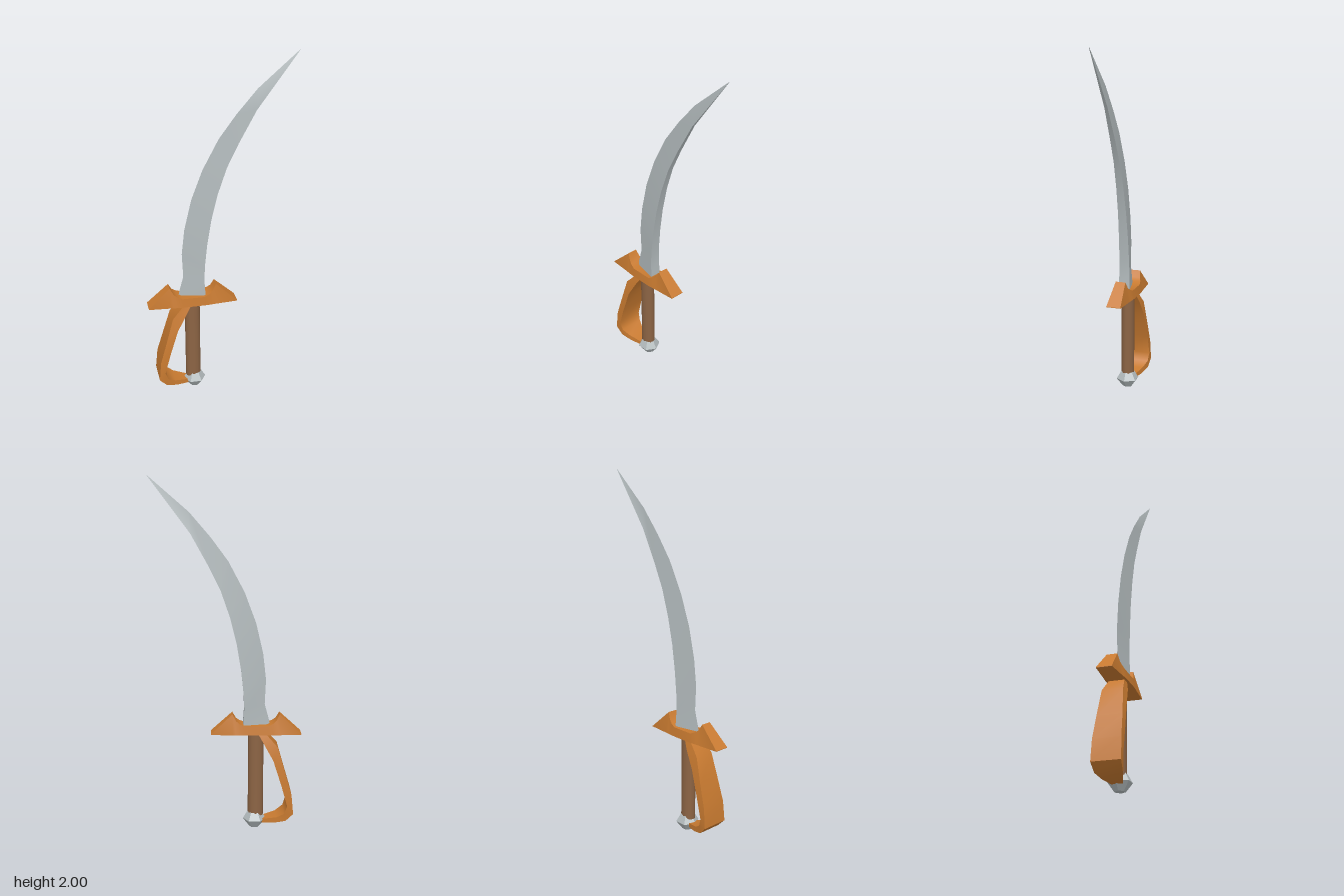
import * as THREE from 'three';
import { toCreasedNormals } from 'three/addons/utils/BufferGeometryUtils.js';

const AXIS = -0.173; // x of the grip's centre line

// Skin over equal-sized cross-sections, each counter-clockwise about the travel direction
function loft(rings, crease) {
  const out = [];
  const tri = (a, b, c) => out.push(...a, ...b, ...c);
  const n = rings[0].length;
  for (let i = 0; i < rings.length - 1; i++) {
    for (let j = 0; j < n; j++) {
      const k = (j + 1) % n;
      const a = rings[i][j], b = rings[i][k], c = rings[i + 1][k], d = rings[i + 1][j];
      tri(a, b, c);
      tri(a, c, d);
    }
  }
  const first = rings[0], last = rings[rings.length - 1];
  for (let j = 1; j < n - 1; j++) {
    tri(first[0], first[j + 1], first[j]);
    tri(last[0], last[j], last[j + 1]);
  }
  const geo = new THREE.BufferGeometry();
  geo.setAttribute('position', new THREE.Float32BufferAttribute(out, 3));
  return toCreasedNormals(geo, crease);
}

export function createModel() {
  const group = new THREE.Group();
  group.name = 'sabre';
  const material = (name, color, flatShading = false) => {
    const m = new THREE.MeshStandardMaterial({ color, flatShading });
    m.name = name;
    return m;
  };
  const steel = material('steel', 0xb2babc);
  const brass = material('brass', 0xc87a30);
  const leather = material('leather', 0x8c6444);
  const add = (name, geo, mat) => {
    const mesh = new THREE.Mesh(geo, mat);
    mesh.name = name;
    group.add(mesh);
    return mesh;
  };

  // Blade: wedge section, sharp on the outer curve with a flat spine on the inner one
  // edge x, edge y, spine x, spine y, spine half thickness
  const blade = [
    [-0.255, 0.6, -0.1, 0.6, 0.033],
    [-0.245, 0.65, -0.102, 0.65, 0.032],
    [-0.222, 0.735, -0.106, 0.71, 0.031],
    [-0.228, 0.877, -0.102, 0.8, 0.029],
    [-0.211, 1.025, -0.088, 0.93, 0.027],
    [-0.17, 1.2, -0.063, 1.08, 0.024],
    [-0.106, 1.37, -0.026, 1.23, 0.021],
    [-0.016, 1.54, 0.026, 1.38, 0.017],
    [0.08, 1.67, 0.09, 1.51, 0.014],
    [0.195, 1.804, 0.19, 1.69, 0.009],
    [0.42, 2.0, 0.42, 1.998, 0.001],
  ];
  add('blade', loft(blade.map(([ex, ey, sx, sy, w]) =>
    [[ex, ey, 0], [sx, sy, w], [sx, sy, -w]]), 0.6), steel);

  // Crossguard: half of the sections, mirrored about the grip's centre line
  // distance from centre, top y, bottom half width, top half width
  const half = [
    [0.256, 0.569, 0.042, 0.042],
    [0.134, 0.683, 0.051, 0.029],
    [0.113, 0.645, 0.053, 0.037],
    [0.093, 0.629, 0.055, 0.044],
    [0.064, 0.617, 0.057, 0.05],
  ];
  const guard = [
    ...half.map(([d, ...rest]) => [AXIS - d, ...rest]),
    ...half.map(([d, ...rest]) => [AXIS + d, ...rest]).reverse(),
  ];
  add('crossguard', loft(guard.map(([x, top, wb, wt]) =>
    [[x, top, wt], [x, 0.566, wb], [x, 0.566, -wb], [x, top, -wt]]), 0.7), brass);

  // Knuckle guard: curved strap from crossguard to pommel
  // inner x, inner y, outer x, outer y, half width
  const strap = [
    [-0.185, 0.57, -0.227, 0.572, 0.042],
    [-0.217, 0.515, -0.296, 0.495, 0.057],
    [-0.27, 0.42, -0.338, 0.347, 0.068],
    [-0.317, 0.273, -0.375, 0.22, 0.075],
    [-0.351, 0.15, -0.386, 0.104, 0.078],
    [-0.335, 0.102, -0.343, 0.06, 0.072],
    [-0.29, 0.074, -0.28, 0.042, 0.054],
    [-0.21, 0.056, -0.21, 0.033, 0.03],
  ];
  add('knuckleGuard', loft(strap.map(([ix, iy, ox, oy, w]) =>
    [[ix, iy, w], [ox, oy, w], [ox, oy, -w], [ix, iy, -w]]), 0.7), brass);

  // Grip: slightly oval in section
  const grip = add('grip', new THREE.CylinderGeometry(0.044, 0.044, 0.5, 12), leather);
  grip.scale.z = 0.84;
  grip.position.set(AXIS, 0.325, 0);

  // Pommel: faceted six-sided knob
  const knob = [[0, 0], [0.03, 0.003], [0.066, 0.05], [0.04, 0.093], [0, 0.096]]
    .map(([r, y]) => new THREE.Vector2(r, y));
  const pommel = add('pommel', toCreasedNormals(
    new THREE.LatheGeometry(knob, 6, Math.PI / 2).toNonIndexed(), 0.3), steel);
  pommel.position.x = AXIS + 0.006;

  return group;
}
